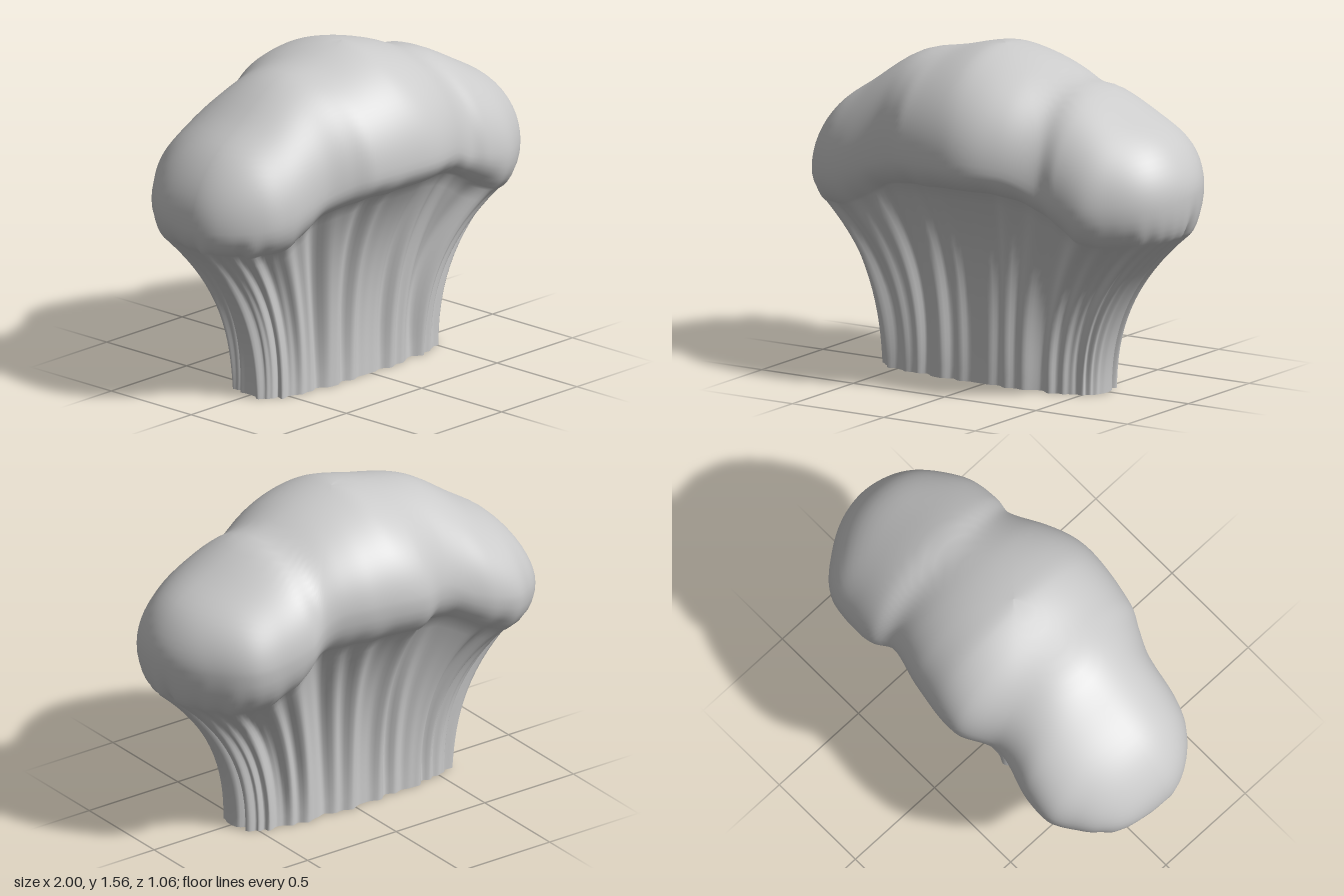
import * as THREE from 'three';

const { lerp } = THREE.MathUtils;

// Smooth curve through [x, value] keys, eased towards x = -1 and x = 1
function profile(keys) {
  const u = keys.map(k => Math.asin(k[0])), v = keys.map(k => k[1]), n = u.length - 1;
  const slope = i => {
    const a = Math.max(i - 1, 0), b = Math.min(i + 1, n);
    return (v[b] - v[a]) / (u[b] - u[a]);
  };
  return x => {
    const p = Math.asin(Math.max(-1, Math.min(1, x)));
    let i = 0;
    while (i < n - 1 && p > u[i + 1]) i++;
    const h = u[i + 1] - u[i], t = (p - u[i]) / h, t2 = t * t, t3 = t2 * t;
    return v[i] * (2 * t3 - 3 * t2 + 1) + slope(i) * h * (t3 - 2 * t2 + t)
      + v[i + 1] * (3 * t2 - 2 * t3) + slope(i + 1) * h * (t3 - t2);
  };
}

// Crown: ridge height, front and back depth, widest height front and back, height of the join with the skirt
const ridge = profile([[-1, 0.88], [-0.97, 1.03], [-0.85, 1.2], [-0.68, 1.32], [-0.45, 1.47], [-0.25, 1.515], [-0.05, 1.56],
  [0.06, 1.55], [0.22, 1.505], [0.4, 1.43], [0.48, 1.42], [0.7, 1.31], [0.88, 1.2], [0.97, 1.08], [1, 0.96]]);
const front = profile([[-1, 0], [-0.97, 0.13], [-0.82, 0.3], [-0.7, 0.35], [-0.5, 0.38], [-0.38, 0.43],
  [-0.28, 0.48], [0, 0.525], [0.15, 0.51], [0.43, 0.405], [0.53, 0.42], [0.67, 0.415], [0.77, 0.37], [0.93, 0.23], [1, 0]]);
const back = profile([[-1, 0], [-0.98, 0.2], [-0.9, 0.34], [-0.82, 0.41], [-0.72, 0.475], [-0.58, 0.48],
  [-0.35, 0.44], [-0.15, 0.53], [0.12, 0.5], [0.35, 0.44], [0.45, 0.475], [0.6, 0.47], [0.76, 0.43], [0.9, 0.28], [1, 0]]);
const widestFront = profile([[-1, 0.88], [-0.75, 0.91], [-0.5, 1], [-0.3, 1.06], [0.25, 1.06], [0.45, 0.98], [0.7, 0.92], [1, 0.96]]);
const widestBack = profile([[-1, 0.88], [-0.75, 0.95], [-0.5, 1.02], [-0.3, 1.12], [0.25, 1.14], [0.45, 1.04], [0.7, 0.98], [1, 0.96]]);
const join = profile([[-1, 0.77], [-0.75, 0.76], [-0.6, 0.82], [-0.42, 0.91], [-0.2, 0.94], [0.25, 0.94], [0.42, 0.88], [0.6, 0.78], [0.75, 0.74], [1, 0.77]]);

// Depth and widest height on the side of the given sign
const depth = (x, s) => s * (s > 0 ? front(x) : back(x));
const widest = (x, s) => (s > 0 ? widestFront(x) : widestBack(x));
const sideOf = a => (Math.sin(a) < 0 ? -1 : 1);

// Irregular gathered folds around the skirt
function fold(a) {
  return 0.45 * Math.sin(17 * a + 0.8 * Math.sin(3 * a)) + 0.4 * Math.sin(29 * a + 1.3)
    + 0.3 * Math.sin(43 * a + 2) - 0.9 * Math.pow(Math.abs(Math.cos(5.5 * a + 0.7)), 14);
}

function skirtPoint(a, t) {
  const c = Math.cos(a), s = Math.sin(a), side = sideOf(a);
  const jx = 0.95 * c, jz = depth(c, side) * 0.78;
  const bx = 0.585 * c - 0.03, bz = side * 0.185 * Math.pow(Math.abs(s), 0.45);
  const nx = c * Math.abs(c) ** 3, len = Math.hypot(nx, s);
  const f = fold(a) * (0.016 + 0.05 * t * (1 - t));
  return [lerp(bx, jx, t ** 2.4) + f * nx / len, t * join(c), lerp(bz, jz, t ** 3) + f * s / len];
}

// Underside of the crown, curling from the skirt out to the widest line
function curlPoint(a, t) {
  const c = Math.cos(a), side = sideOf(a), p = skirtPoint(a, 1);
  const out = Math.sin(t * Math.PI / 2), up = lerp(1 - Math.cos(t * Math.PI / 2), t, 0.4);
  return [lerp(p[0], c, out), lerp(p[1], widest(c, side), up), lerp(p[2], depth(c, side), out)];
}

// Upper crown, closing inwards to the middle
function domePoint(a, t) {
  const c = Math.cos(a), side = sideOf(a), k = Math.cos(t * Math.PI / 2);
  const x = c * k, z = depth(c, side) * k;
  const q = z / (depth(x, side) || 1e-6);
  const h = Math.abs(c) > 0.9999 ? 1 : Math.sqrt(Math.max(0, 1 - q * q));
  return [x, lerp(widest(x, side), ridge(x), h), z];
}

// Rings of points joined into one open-bottomed shell
function createShell() {
  const N = 288, rings = [];
  for (let i = 0; i <= 16; i++) rings.push(a => skirtPoint(a, i / 16));
  for (let i = 1; i <= 6; i++) rings.push(a => curlPoint(a, i / 6));
  for (let i = 1; i <= 24; i++) rings.push(a => domePoint(a, i / 24));
  const pos = [], index = [];
  rings.forEach((ring, r) => {
    for (let i = 0; i < N; i++) {
      pos.push(...ring(i / N * Math.PI * 2));
      if (r === rings.length - 1) continue;
      const j = (i + 1) % N, a = r * N + i, b = r * N + j;
      index.push(a, a + N, b, b, a + N, b + N);
    }
  });
  const g = new THREE.BufferGeometry();
  g.setAttribute('position', new THREE.Float32BufferAttribute(pos, 3));
  g.setIndex(index);
  g.computeVertexNormals();
  return g;
}

export function createModel() {
  const group = new THREE.Group();
  group.name = 'puffedHat';
  const mat = new THREE.MeshStandardMaterial({ color: 0xcccccc, side: THREE.DoubleSide });
  const shell = new THREE.Mesh(createShell(), mat);
  shell.name = 'pleatedSkirtAndCrown';
  group.add(shell);
  return group;
}
